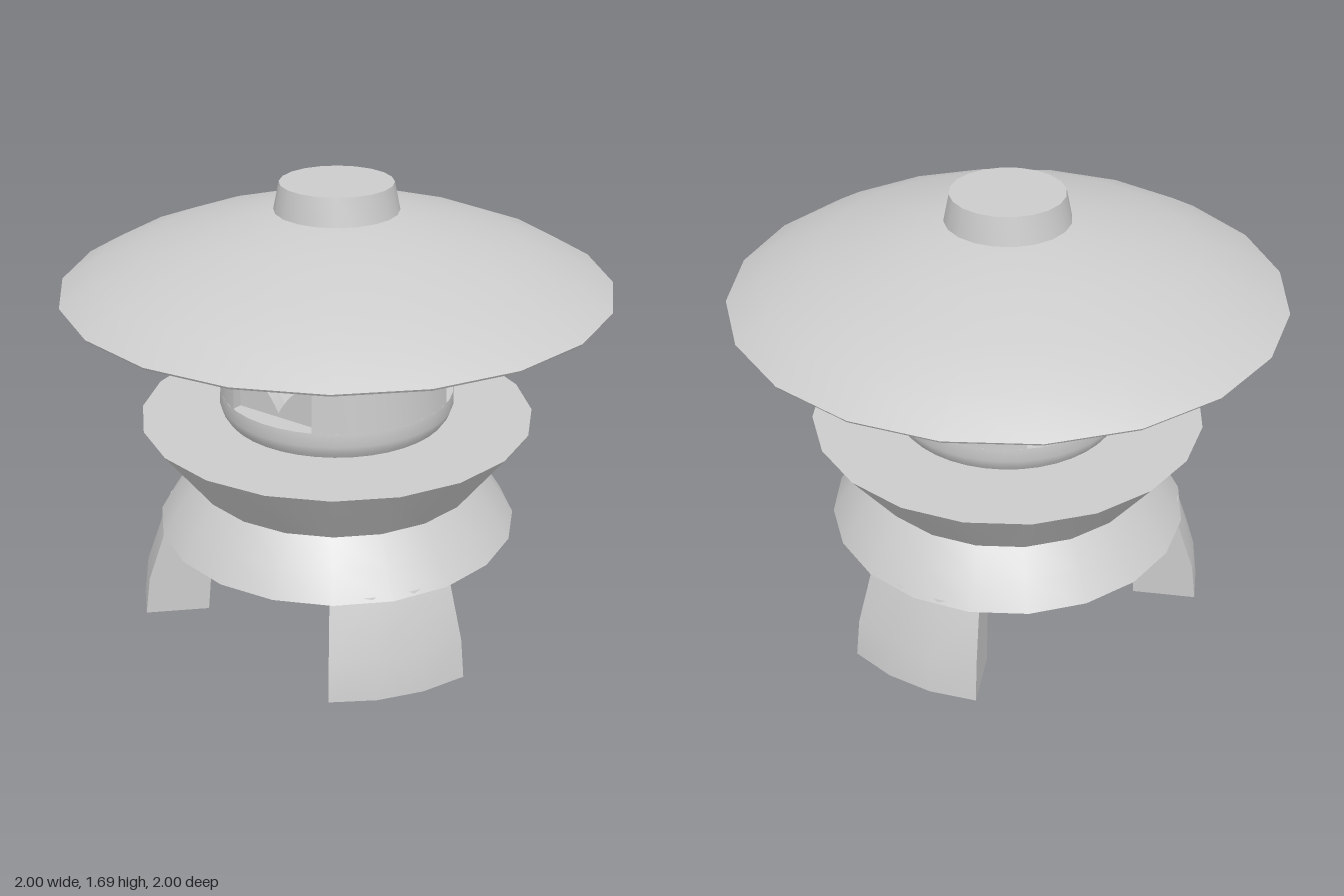
import * as THREE from 'three';
import { toCreasedNormals } from 'three/addons/utils/BufferGeometryUtils.js';

const rad = THREE.MathUtils.degToRad;
const v2 = (p) => new THREE.Vector2(p[0], p[1]);

export function createModel() {
  const model = new THREE.Group();
  const stone = new THREE.MeshStandardMaterial({ color: 0xcccccc });

  function add(name, geometry, parent = model) {
    const mesh = new THREE.Mesh(toCreasedNormals(geometry, 0.5), stone);
    mesh.name = name;
    parent.add(mesh);
    return mesh;
  }

  // Round part from a profile of [radius, height], listed upwards
  const turned = (name, profile, sides = 20) =>
    add(name, new THREE.LatheGeometry(profile.map(v2), sides));

  // Base slab, flared tier and roof
  turned('baseSlab', [[0, 0.285], [0.47, 0.29], [0.685, 0.37], [0.62, 0.47], [0.545, 0.565], [0, 0.565]]);
  turned('flaredTier', [[0, 0.56], [0.55, 0.565], [0.735, 0.81], [0, 0.81]]);
  turned('roof', [
    [0, 1.275], [0.4, 1.275], [0.995, 1.312], [1, 1.32], [0.87, 1.395], [0.68, 1.47],
    [0.47, 1.53], [0.225, 1.59], [0, 1.59],
  ]);
  turned('roofKnob', [[0, 1.56], [0.228, 1.58], [0.205, 1.69], [0, 1.69]]);

  // Legs: a curved profile swept about the axis between two angles
  const legProfile = [
    [0.47, 0.285], [0.505, 0.16], [0.52, 0], [0.765, 0.02], [0.745, 0.17], [0.67, 0.385], [0.56, 0.4],
  ];
  for (const [from, to] of [[34, 73], [146, 182.5], [267, 306.5]]) {
    const leg = new THREE.ExtrudeGeometry(new THREE.Shape(legProfile.map(v2)), {
      depth: 1, steps: 3, bevelEnabled: false,
    });
    const p = leg.attributes.position;
    for (let i = 0; i < p.count; i++) {
      const r = p.getX(i);
      const a = rad(from + (to - from) * p.getZ(i));
      p.setXYZ(i, r * Math.cos(a), p.getY(i), r * Math.sin(a));
    }
    add('leg', leg);
  }

  // Fire box: solid bottom and top, with a notched band between
  const low = 0.91, high = 1.2, radius = 0.437, half = 23.5;
  const windows = [106, 226, 341];
  turned('fireBoxBottom', [[0, 0.8], [0.41, 0.8], [0.43, 0.83], [0.44, 0.86], [radius, low], [0, low]], 40);
  turned('fireBoxTop', [[0, high], [0.425, high], [0.41, 1.25], [0.39, 1.285], [0, 1.285]], 40);

  const outline = [];
  const polar = (r, deg) => outline.push(new THREE.Vector2(r * Math.cos(rad(deg)), -r * Math.sin(rad(deg))));
  windows.forEach((angle, i) => {
    const next = windows[(i + 1) % 3] + (i === 2 ? 360 : 0);
    polar(radius, angle - half);
    polar(0.24, angle - 46);
    polar(0.24, angle + 46);
    const start = angle + half, end = next - half;
    for (let k = 0; k < 8; k++) polar(radius, start + ((end - start) * k) / 8);
  });
  const band = new THREE.ExtrudeGeometry(new THREE.Shape(outline), { depth: high - low, bevelEnabled: false });
  band.rotateX(-Math.PI / 2);
  const bp = band.attributes.position;
  for (let i = 0; i < bp.count; i++) {
    const s = 1 - bp.getY(i) * 0.09;
    bp.setXYZ(i, bp.getX(i) * s, bp.getY(i) + low, bp.getZ(i) * s);
  }
  add('fireBoxWall', band);

  // Pierced window screens: diamond, double pane and crescent
  const diamond = new THREE.Path();
  diamond.moveTo(0, 0.13);
  diamond.quadraticCurveTo(-0.045, 0.045, -0.12, 0);
  diamond.quadraticCurveTo(-0.045, -0.045, 0, -0.13);
  diamond.quadraticCurveTo(0.045, -0.045, 0.12, 0);
  diamond.quadraticCurveTo(0.045, 0.045, 0, 0.13);

  const pane = (x) => new THREE.Path([[x - 0.065, -0.11], [x + 0.065, -0.11], [x + 0.065, 0.11], [x - 0.065, 0.11]].map(v2));

  const crescent = new THREE.Path();
  crescent.moveTo(0.07, 0.11);
  crescent.bezierCurveTo(0.16, 0.08, 0.16, -0.08, 0.07, -0.11);
  crescent.quadraticCurveTo(0.11, 0, 0.07, 0.11);

  const holes = [[diamond], [pane(-0.09), pane(0.09)], [crescent]];
  windows.forEach((angle, i) => {
    const frame = new THREE.Group();
    frame.name = 'window';
    frame.rotation.y = Math.PI / 2 - rad(angle);
    const screen = new THREE.Shape([[-0.18, -0.145], [0.18, -0.145], [0.18, 0.145], [-0.18, 0.145]].map(v2));
    screen.holes.push(...holes[i]);
    const geometry = new THREE.ExtrudeGeometry(screen, { depth: 0.05, bevelEnabled: false, curveSegments: 6 });
    add('windowScreen', geometry, frame).position.set(0, (low + high) / 2, 0.31);
    model.add(frame);
  });

  return model;
}
